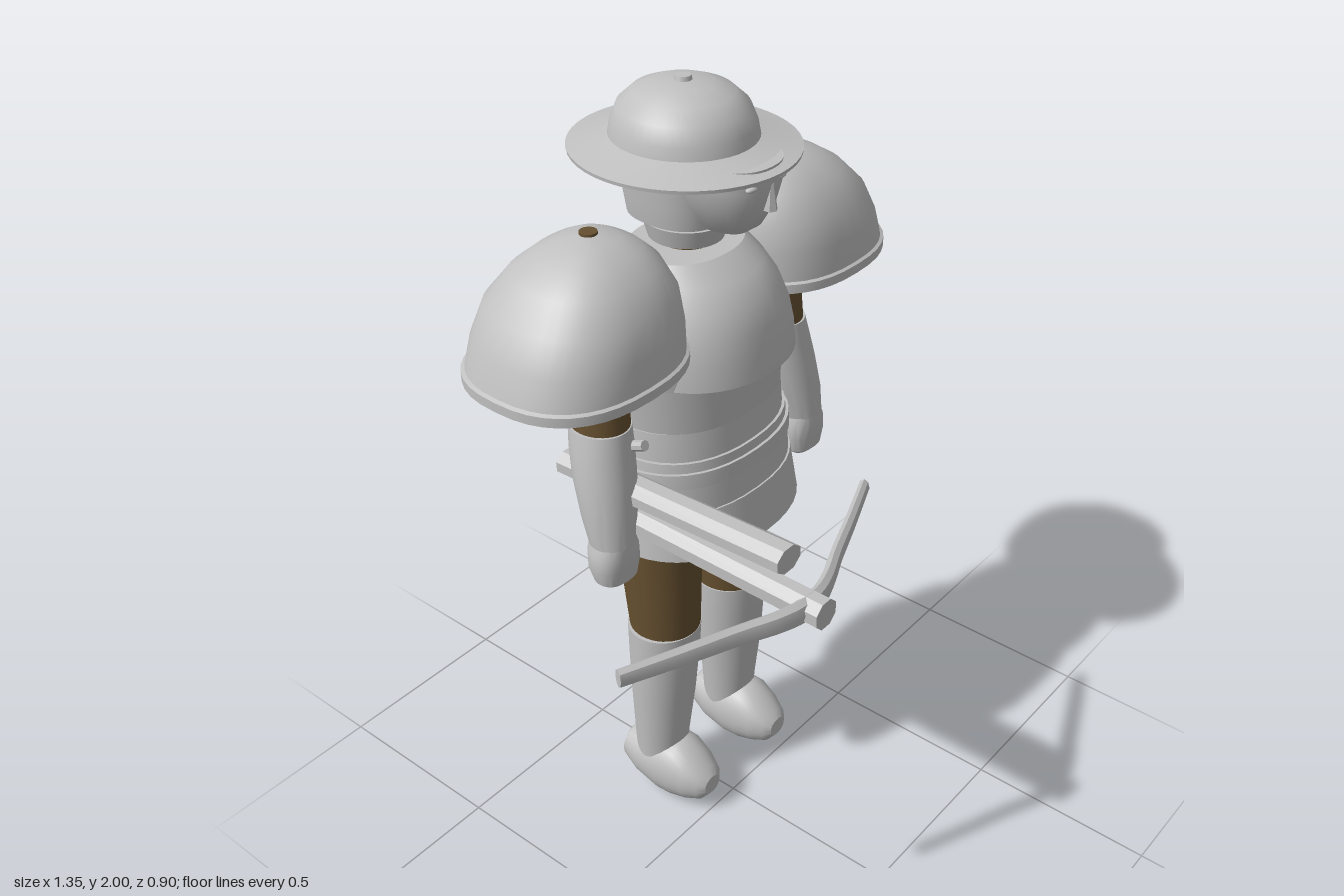
import * as THREE from 'three';
import { toCreasedNormals } from 'three/addons/utils/BufferGeometryUtils.js';

const steel = new THREE.MeshStandardMaterial({ color: 0xc0c0c0, side: THREE.DoubleSide });
steel.name = 'steel';
const cloth = new THREE.MeshStandardMaterial({ color: 0x665030, side: THREE.DoubleSide });
cloth.name = 'brownCloth';

const CX = 0.058, CZ = -0.185, SEG = 40;
const V = (x, y, z) => new THREE.Vector3(x, y, z);

// Skin a list of point loops, optionally closing the first and last loop
function loft(rings, capStart = true, capEnd = true, crease = 0.6) {
  const n = rings[0].length, pos = [], idx = [];
  rings.forEach(r => r.forEach(p => pos.push(p.x, p.y, p.z)));
  for (let i = 0; i < rings.length - 1; i++) {
    for (let j = 0; j < n; j++) {
      const a = i * n + j, b = i * n + (j + 1) % n;
      idx.push(a, b, b + n, a, b + n, a + n);
    }
  }
  const cap = (row, flip) => {
    const c = new THREE.Vector3();
    rings[row].forEach(p => c.addScaledVector(p, 1 / n));
    const k = pos.push(c.x, c.y, c.z) / 3 - 1;
    for (let j = 0; j < n; j++) {
      const a = row * n + j, b = row * n + (j + 1) % n;
      flip ? idx.push(k, b, a) : idx.push(k, a, b);
    }
  };
  if (capStart) cap(0, true);
  if (capEnd) cap(rings.length - 1, false);
  const g = new THREE.BufferGeometry();
  g.setAttribute('position', new THREE.Float32BufferAttribute(pos, 3));
  g.setIndex(idx);
  return toCreasedNormals(g, crease);
}

// Loop of superellipse points mapped to space by fn(u, v)
function loop(fn, n = SEG, p = 2) {
  const e = 2 / p, out = [];
  for (let j = 0; j < n; j++) {
    const t = (j / n) * Math.PI * 2, c = Math.cos(t), s = Math.sin(t);
    out.push(fn(Math.sign(c) * Math.abs(c) ** e, Math.sign(s) * Math.abs(s) ** e));
  }
  return out;
}

// Horizontal loop: height, half sizes, centre
const ring = (y, hx, hz, cx = CX, cz = CZ, p = 2, n = SEG) =>
  loop((u, v) => V(cx + u * hx, y, cz - v * hz), n, p);

export function createModel() {
  const model = new THREE.Group();
  const add = (name, geo, mat = steel, parent = model) => {
    const m = new THREE.Mesh(geo, mat);
    m.name = name;
    parent.add(m);
    return m;
  };
  const rod = (name, a, b, r, sides = 8) => {
    const g = toCreasedNormals(new THREE.CylinderGeometry(r, r, a.distanceTo(b), sides), 0.6);
    g.rotateY(Math.PI / sides);
    const m = add(name, g);
    m.position.copy(a).add(b).multiplyScalar(0.5);
    m.quaternion.setFromUnitVectors(V(0, 1, 0), b.clone().sub(a).normalize());
    return m;
  };

  // Wide-brimmed helmet
  const hat = [[0, 1.855], [0.13, 1.85], [0.251, 1.842], [0.252, 1.85], [0.2, 1.862], [0.162, 1.873], [0.157, 1.9],
    [0.142, 1.938], [0.11, 1.968], [0.065, 1.986], [0, 1.992]].map(p => new THREE.Vector2(...p));
  const helmet = add('helmet', toCreasedNormals(new THREE.LatheGeometry(hat, 48), 0.5));
  helmet.position.set(CX, 0, CZ);
  helmet.scale.z = 1.055;
  const knob = add('helmetKnob', toCreasedNormals(new THREE.CylinderGeometry(0.018, 0.022, 0.016, 10), 0.7));
  knob.position.set(CX, 1.992, CZ);

  // Head: hood, face guard, brows, eyes, nose
  add('hood', loft([ring(1.69, 0.112, 0.122, CX, -0.195, 2.4), ring(1.74, 0.12, 0.128, CX, -0.195, 2.4),
    ring(1.865, 0.127, 0.13, CX, -0.195, 2.4)]));
  add('faceGuard', loft([[1.688, 0.045, 0.085, -0.095], [1.71, 0.062, 0.11, -0.09], [1.76, 0.09, 0.135, -0.087],
    [1.81, 0.104, 0.145, -0.085], [1.86, 0.108, 0.145, -0.085]]
    .map(([y, hx, hz, cz]) => ring(y, hx, hz, CX, cz, 2.3))));
  for (const s of [-1, 1]) {
    const brow = add('brow', new THREE.BoxGeometry(0.055, 0.009, 0.012));
    brow.position.set(CX + s * 0.048, 1.836, 0.049);
    brow.rotation.set(0, s * 0.35, s * 0.12);
    const eye = add('eye', new THREE.SphereGeometry(0.02, 12, 8));
    eye.scale.set(1, 0.35, 0.5);
    eye.position.set(CX + s * 0.048, 1.82, 0.043);
  }
  const nose = add('nose', toCreasedNormals(new THREE.CylinderGeometry(0.007, 0.016, 0.06, 6), 0.6));
  nose.position.set(CX, 1.79, 0.055);

  // Neck
  add('neck', loft([ring(1.58, 0.062, 0.065), ring(1.7, 0.06, 0.065)]), cloth);
  add('gorget', loft([ring(1.634, 0.085, 0.09), ring(1.678, 0.097, 0.102)]));

  // Breastplate
  add('breastplate', loft([[1.36, 0.23, 0.223, -0.157], [1.41, 0.228, 0.219, -0.159], [1.47, 0.216, 0.211, -0.162],
    [1.53, 0.193, 0.196, -0.167], [1.58, 0.168, 0.165, -0.175], [1.62, 0.143, 0.12, -0.185]]
    .map(([y, hx, hz, cz]) => ring(y, hx, hz, CX, cz, 2.2))));

  // Overlapping back and waist bands: bottom y, top y, bottom and top half sizes
  const bands = [
    [1.36, 1.45, 0.262, 0.2, 0.272, 0.198], [1.235, 1.36, 0.235, 0.195, 0.25, 0.195],
    [1.14, 1.235, 0.243, 0.2, 0.238, 0.192], [1.02, 1.16, 0.262, 0.215, 0.25, 0.205],
  ];
  bands.forEach(([y0, y1, ax, az, bx, bz]) =>
    add('torsoBand', loft([ring(y0, ax, az, CX, CZ, 2.3), ring(y1, bx, bz, CX, CZ, 2.3)], false)));
  add('belt', loft([ring(1.095, 0.262, 0.216, CX, CZ, 2.3), ring(1.135, 0.26, 0.214, CX, CZ, 2.3)]));
  add('skirt', loft([ring(1.02, 0.25, 0.203, CX, CZ, 2.3), ring(0.9, 0.272, 0.227, CX, -0.18, 2.3),
    ring(0.9, 0.28, 0.236, CX, -0.18, 2.3), ring(1.025, 0.266, 0.217, CX, -0.183, 2.3)], true, true));

  for (const s of [-1, 1]) {
    const side = s > 0 ? 'left' : 'right';
    const X = d => CX + s * d;

    // Domed shoulder guard, hollow below: y, half x, half z, sideways centre
    const dome = [[1.455, 0.244, 0.222, 0.37], [1.478, 0.244, 0.222, 0.37], [1.482, 0.236, 0.215, 0.369],
      [1.55, 0.225, 0.208, 0.358], [1.62, 0.203, 0.19, 0.343], [1.68, 0.16, 0.148, 0.327],
      [1.715, 0.115, 0.107, 0.318], [1.738, 0.066, 0.062, 0.312], [1.75, 0.012, 0.012, 0.311]];
    const outer = dome.map(([y, hx, hz, d]) => ring(y, hx, hz, X(d), CZ, 2.45));
    const inner = dome.slice(2).reverse().map(([y, hx, hz, d]) =>
      ring(y - 0.02, hx * 0.94, hz * 0.94, X(d), CZ, 2.45));
    inner.push(ring(1.455, 0.22, 0.2, X(0.37), CZ, 2.45));
    add(side + 'ShoulderGuard', loft([...inner, ...outer], true, true, 0.5));

    // Arm
    add(side + 'UpperArm', loft([ring(1.26, 0.064, 0.072, X(0.323), -0.172), ring(1.3, 0.065, 0.074, X(0.321), -0.174),
      ring(1.46, 0.06, 0.074, X(0.314), -0.183), ring(1.62, 0.055, 0.06, X(0.312)),
      ring(1.70, 0.022, 0.022, X(0.311)), ring(1.754, 0.02, 0.02, X(0.311))]), cloth);
    add(side + 'Forearm', loft([[1.01, 0.056, 0.055, 0.362, -0.115], [1.08, 0.068, 0.064, 0.354, -0.128],
      [1.17, 0.075, 0.074, 0.34, -0.15], [1.24, 0.074, 0.076, 0.33, -0.164], [1.29, 0.069, 0.076, 0.324, -0.172]]
      .map(([y, hx, hz, d, cz]) => ring(y, hx, hz, X(d), cz))));
    add(side + 'Hand', loft([[0.897, 0.04, 0.028, 0.362, -0.108], [0.91, 0.056, 0.042, 0.363, -0.109],
      [0.95, 0.066, 0.05, 0.363, -0.112], [0.99, 0.063, 0.053, 0.362, -0.114], [1.025, 0.05, 0.05, 0.361, -0.116]]
      .map(([y, hx, hz, d, cz]) => ring(y, hx, hz, X(d), cz, 2.3))));

    // Leg and boot
    add(side + 'Thigh', loft([ring(0.56, 0.09, 0.092, X(0.131), -0.168), ring(0.9, 0.109, 0.112, X(0.133), -0.178),
      ring(1.02, 0.112, 0.114, X(0.125), -0.18)]), cloth);
    add(side + 'BootShaft', loft([[0.12, 0.072, 0.068, 0.144, -0.18], [0.2, 0.076, 0.072, 0.143, -0.18],
      [0.35, 0.088, 0.083, 0.14, -0.173], [0.5, 0.096, 0.091, 0.136, -0.169], [0.585, 0.098, 0.094, 0.134, -0.168]]
      .map(([y, hx, hz, d, cz]) => ring(y, hx, hz, X(d), cz))));
    const foot = [[-0.28, 0.11, 0.15, 0.035], [-0.268, 0.06, 0.165, 0.066], [-0.22, 0.025, 0.18, 0.077],
      [-0.15, 0.004, 0.196, 0.08], [-0.105, 0.008, 0.195, 0.079], [-0.06, 0.022, 0.168, 0.07],
      [-0.02, 0.04, 0.137, 0.052], [-0.003, 0.062, 0.117, 0.03]];
    add(side + 'Foot', loft(foot.map(([z, y0, y1, hx]) =>
      loop((u, v) => V(X(0.145) + u * hx, (y0 + y1) / 2 + v * (y1 - y0) / 2, z), 28, 2.2))));
  }

  // Crossbow: upper tube, lower stock, lever, bow arms
  rod('crossbowTube', V(-0.24, 1.115, -0.31), V(-0.238, 1.137, 0.348), 0.044).scale.z = 0.75;
  rod('crossbowStock', V(-0.238, 1.04, -0.1), V(-0.238, 1.038, 0.452), 0.038);
  rod('crossbowLever', V(-0.24, 1.2, -0.2), V(-0.24, 1.26, -0.06), 0.013);
  const half = [[0.435, 0.243], [0.3, 0.3], [0.17, 0.352], [0.09, 0.388], [0.03, 0.405]];
  const path = new THREE.CatmullRomCurve3([...half.map(([x, z]) => V(-0.237 - x, 1.04, z)),
    ...half.slice().reverse().map(([x, z]) => V(-0.237 + x, 1.04, z))]);
  const bow = [];
  for (let i = 0; i <= 28; i++) {
    const t = i / 28, c = path.getPoint(t), d = path.getTangent(t), mid = 1 - Math.abs(2 * t - 1);
    const h = 0.024 + 0.01 * mid, w = 0.014 + 0.005 * mid;
    bow.push(loop((u, v) => V(c.x - d.z * v * w, c.y + u * h, c.z + d.x * v * w), 8));
  }
  add('crossbowBow', loft(bow));

  return model;
}
